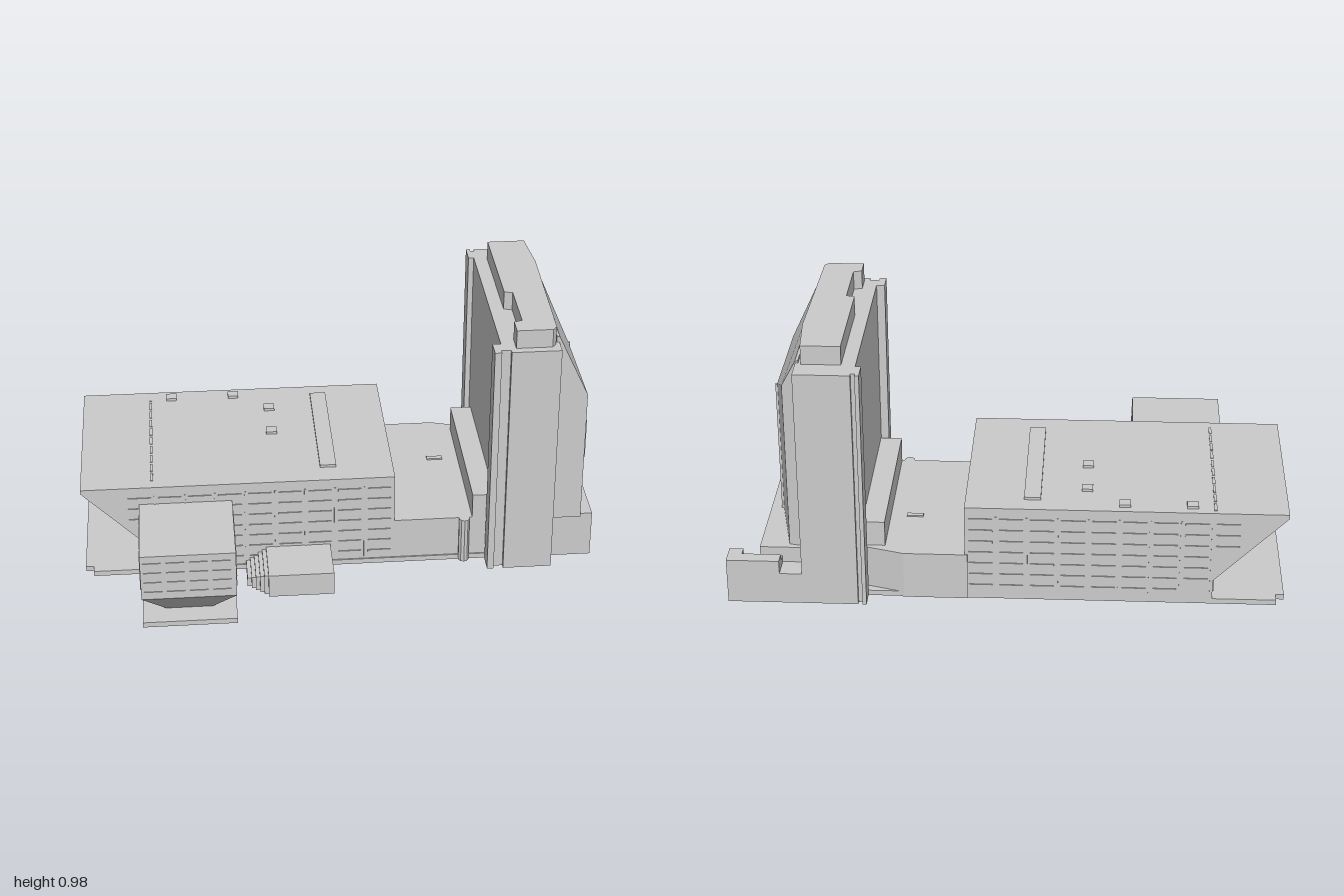
import * as THREE from 'three';
import { ConvexGeometry } from 'three/addons/geometries/ConvexGeometry.js';

const grey = new THREE.MeshStandardMaterial({ color: 0xcccccc, flatShading: true });

export function createModel() {
  const root = new THREE.Group();

  const add = (name, geometry, parent = root) => {
    const mesh = new THREE.Mesh(geometry, grey);
    mesh.name = name;
    parent.add(mesh);
    return mesh;
  };
  // Box given by its limits on each axis
  const box = (name, x0, x1, y0, y1, z0, z1, parent) => {
    const g = new THREE.BoxGeometry(x1 - x0, y1 - y0, z1 - z0);
    g.translate((x0 + x1) / 2, (y0 + y1) / 2, (z0 + z1) / 2);
    return add(name, g, parent);
  };
  const extrude = (points, depth) => new THREE.ExtrudeGeometry(
    new THREE.Shape(points.map(([a, b]) => new THREE.Vector2(a, b))), { depth, bevelEnabled: false });
  // Upright prism from a plan outline of [x, z] points
  const prism = (name, plan, y0, y1) => {
    const g = extrude(plan.map(([x, z]) => [x, -z]), y1 - y0);
    g.rotateX(-Math.PI / 2).translate(0, y0, 0);
    return add(name, g);
  };
  const hull = (name, points) =>
    add(name, new ConvexGeometry(points.map((p) => new THREE.Vector3(...p))));
  const group = (name) => {
    const g = new THREE.Group();
    g.name = name;
    root.add(g);
    return g;
  };

  // Ground slab with notched edge and forecourt
  prism('groundSlab', [[-0.97, 0.215], [-0.97, 0.18], [-1, 0.18], [-1, -0.46], [-0.97, -0.46], [-0.97, -0.5],
    [0.73, -0.5], [0.73, 0.215], [-0.45, 0.215], [-0.45, 0.56], [-0.79, 0.56], [-0.79, 0.215]], 0, 0.02);

  // Long block with raking end
  const hall = extrude([[-1, 0.37], [-1, 0.355], [-0.74, 0.095], [-0.74, 0.01], [0.15, 0.01], [0.15, 0.37]], 0.71);
  hall.translate(0, 0, -0.5);
  add('longBlock', hall);

  // Window slits on both long faces; slits stop at the raking end
  const slits = group('facadeSlits');
  for (let row = 0; row < 7; row++) {
    const y = 0.05 + row * 0.045;
    for (let col = 0; col < 9; col++) {
      const x = -0.83 + col * 0.11;
      if (x < -0.645 - y + 0.01) continue;
      for (const z of [-0.5, 0.21]) {
        if (x + 0.085 > 0.15 || (x < -0.74 && y < 0.2)) continue;
        box('slit', x, x + 0.085, y, y + 0.008, z - 0.004, z + 0.004, slits);
      }
    }
  }
  const mullions = group('facadeMullions');
  for (let col = 0; col < 8; col++) {
    const x = -0.735 + col * 0.11;
    for (const z of [-0.5, 0.21]) box('mullion', x, x + 0.006, 0.03, 0.335, z - 0.003, z + 0.003, mullions);
  }

  // Ground floor windows below the raking end
  const endWindows = group('endWindows');
  for (let i = 0; i < 10; i++) {
    const z = -0.47 + i * 0.067;
    box('endWindow', -0.746, -0.735, 0.035, 0.08, z, z + 0.045, endWindows);
  }

  // Roof details
  const roof = group('roofDetails');
  box('rooflight', -0.12, -0.06, 0.365, 0.38, -0.43, 0.12, roof);
  for (const [x, z] of [[-0.66, -0.45], [-0.42, -0.45], [-0.285, -0.34], [-0.285, -0.16]])
    box('roofVent', x - 0.02, x + 0.02, 0.365, 0.38, z - 0.02, z + 0.02, roof);
  for (let i = 0; i < 10; i++) {
    const z = -0.48 + i * 0.066;
    box('roofDash', -0.746, -0.736, 0.365, 0.373, z, z + 0.05, roof);
  }

  // Overhanging pod on a tapered foot
  box('pod', -0.79, -0.45, 0.12, 0.3, 0.2, 0.56);
  hull('podFoot', [
    [-0.79, 0.12, 0.2], [-0.45, 0.12, 0.2], [-0.79, 0.12, 0.56], [-0.45, 0.12, 0.56],
    [-0.7, 0.015, 0.2], [-0.54, 0.015, 0.2], [-0.7, 0.015, 0.47], [-0.54, 0.015, 0.47]]);
  const podSlits = group('podSlits');
  for (let row = 0; row < 4; row++) {
    const y = 0.145 + row * 0.04;
    for (let col = 0; col < 4; col++) {
      const x = -0.78 + col * 0.082;
      box('podSlit', x, x + 0.065, y, y + 0.007, 0.555, 0.563, podSlits);
      const z = 0.235 + col * 0.08;
      for (const side of [-0.79, -0.45]) box('podSlit', side - 0.003, side + 0.003, y, y + 0.007, z, z + 0.06, podSlits);
    }
  }

  // Entrance block with stepped flank
  box('entrance', -0.33, -0.09, 0, 0.09, 0.2, 0.405);
  for (let i = 0; i < 5; i++)
    box('entranceStep', -0.405 + i * 0.015, -0.325, 0, 0.035 + i * 0.011, 0.2, 0.33 + i * 0.014);

  // Low link between block and tower
  prism('link', [[0.14, -0.505], [0.37, -0.505], [0.52, -0.46], [0.52, 0.21], [0.14, 0.21]], 0, 0.18);
  box('linkUpperStorey', 0.44, 0.53, 0.17, 0.275, -0.45, 0.21);
  const column = new THREE.CylinderGeometry(0.02, 0.02, 0.18, 10);
  column.translate(0.41, 0.09, 0.215);
  add('linkColumn', column);
  box('linkRoofVent', 0.32, 0.38, 0.175, 0.185, -0.235, -0.215);

  // Tower slab with end bays and grooves
  prism('tower', [[0.49, 0.29], [0.515, 0.29], [0.515, 0.272], [0.55, 0.272], [0.55, 0.29], [0.73, 0.29],
    [0.73, -0.565], [0.53, -0.565], [0.53, -0.55], [0.515, -0.55], [0.515, -0.565], [0.5, -0.565],
    [0.5, -0.49], [0.52, -0.49], [0.52, 0.22], [0.49, 0.22]], 0, 0.91);
  prism('towerPlantRoom', [[0.57, -0.48], [0.71, -0.48], [0.725, -0.3], [0.715, 0.24], [0.7, 0.26], [0.57, 0.26],
    [0.57, 0.19], [0.6, 0.18], [0.6, -0.04], [0.57, -0.05]], 0.9, 0.98);

  // Folded glass screen leaning on the tower, splayed back at the rear
  const screen = [[0.72, 0.17, 0.225], [0.72, 0.935, 0.225], [0.72, 0.17, -0.47], [0.72, 0.92, -0.47],
    [0.732, 0.93, 0.225], [0.732, 0.915, -0.47]];
  for (const [x, y, z] of [[0.845, 0.69, 0.225], [0.845, 0.69, -0.18], [0.785, 0.815, -0.455]])
    screen.push([x, y, z], [x, 0.17, z]);
  hull('glassScreen', screen);
  box('screenFin', 0.835, 0.851, 0.17, 0.69, -0.19, -0.18);

  // Podium and rear annex
  box('podium', 0.72, 0.89, 0, 0.18, -0.48, 0.22);
  box('annexLink', 0.72, 0.82, 0, 0.12, -0.565, -0.47);
  box('annex', 0.81, 1, 0, 0.145, -0.565, -0.48);
  box('annexBackWall', 0.81, 1, 0.14, 0.17, -0.565, -0.515);
  box('annexEndWall', 0.95, 1, 0.14, 0.17, -0.516, -0.48);

  return root;
}
